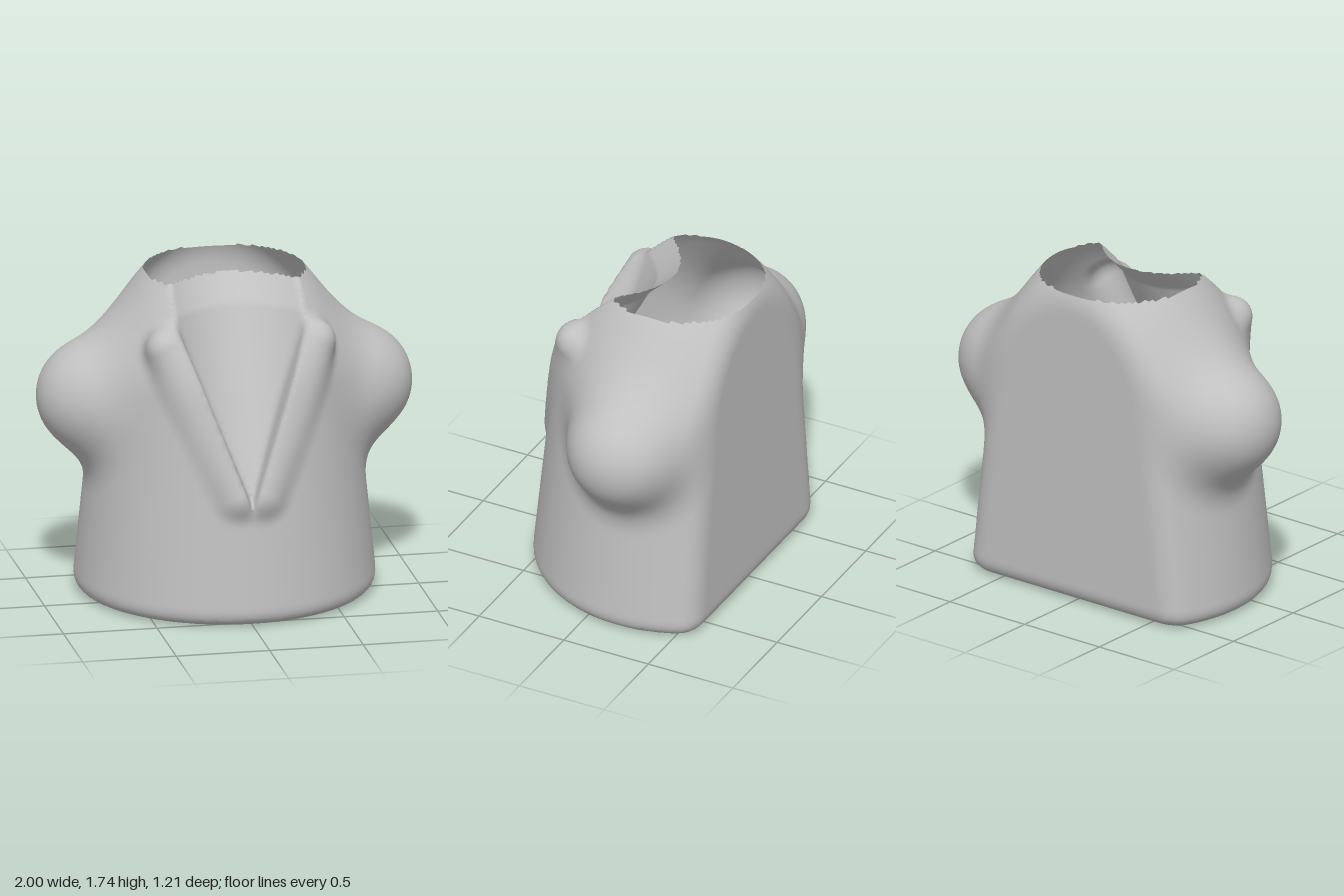
import * as THREE from 'three';

// Smooth blends between rounded volumes
const smin = (a, b, k) => {
  const h = Math.max(k - Math.abs(a - b), 0) / k;
  return Math.min(a, b) - h * h * k * 0.25;
};
const smax = (a, b, k) => -smin(-a, -b, k);

// Distance to a capsule from a to b
function capsule(x, y, z, a, b, r) {
  const d = [b[0] - a[0], b[1] - a[1], b[2] - a[2]];
  const p = [x - a[0], y - a[1], z - a[2]];
  const dot = (u, v) => u[0] * v[0] + u[1] * v[1] + u[2] * v[2];
  const t = THREE.MathUtils.clamp(dot(p, d) / dot(d, d), 0, 1);
  return Math.hypot(p[0] - t * d[0], p[1] - t * d[1], p[2] - t * d[2]) - r;
}

// Signed field of the torso, mirrored in x
function torsoField(px, y, z) {
  const x = Math.abs(px);
  // tapering body that narrows quickly toward the neck
  const r = 0.8 - 0.1 * y - 0.7 * Math.max(0, y - 1.2) ** 2;
  let d = (Math.hypot(x, z + 0.19) - r) * 0.95;
  // rounded arm stumps
  d = smin(d, capsule(x, y, z, [0.35, 1.17, -0.2], [0.7, 1.08, -0.2], 0.3), 0.22);
  // collar rolls
  d = smin(d, capsule(x, y, z, [0.4, 1.45, 0.245], [0.06, 0.69, 0.485], 0.105), 0.07);
  // V-shaped neckline with a sloping, hollowed floor
  const width = Math.min(0.38, (y - 0.64) * 0.37);
  const slope = 0.5 - (y - 0.7) * 0.54 - 0.5 * Math.max(0, y - 1.6);
  const cut = smax((x - width) * 0.94, (slope + 1.7 * x * x - z) * 0.8, 0.03);
  d = smax(d, -cut, 0.03);
  // flat back and base with softened edges
  d = smax(d, -0.612 - z, 0.08);
  return smax(d, -y, 0.1);
}

// Turn a field into a smooth surface, left open where it leaves the grid
function surfaceFromField(field, origin, count, h) {
  const [nx, ny, nz] = count;
  const id = (i, j, k) => i + (nx + 1) * (j + (ny + 1) * k);
  const at = (i, j, k) => [origin[0] + i * h, origin[1] + j * h, origin[2] + k * h];
  const values = new Float32Array((nx + 1) * (ny + 1) * (nz + 1));
  for (let k = 0; k <= nz; k++)
    for (let j = 0; j <= ny; j++)
      for (let i = 0; i <= nx; i++) values[id(i, j, k)] = field(...at(i, j, k));

  // one vertex in each cell the surface passes through
  const positions = [], normals = [], indices = [];
  const cellVertex = new Int32Array(values.length).fill(-1);
  for (let k = 0; k < nz; k++)
    for (let j = 0; j < ny; j++)
      for (let i = 0; i < nx; i++) {
        const sum = [0, 0, 0];
        let hits = 0;
        for (let c = 0; c < 8; c++) {
          const o = [c & 1, (c >> 1) & 1, c >> 2];
          const v0 = values[id(i + o[0], j + o[1], k + o[2])];
          for (let a = 0; a < 3; a++) {
            if (o[a]) continue;
            const e = [...o];
            e[a] = 1;
            const v1 = values[id(i + e[0], j + e[1], k + e[2])];
            if ((v0 < 0) === (v1 < 0)) continue;
            e[a] = v0 / (v0 - v1);
            for (let n = 0; n < 3; n++) sum[n] += e[n];
            hits++;
          }
        }
        if (!hits) continue;
        cellVertex[id(i, j, k)] = positions.length / 3;
        const p = at(i + sum[0] / hits, j + sum[1] / hits, k + sum[2] / hits);
        positions.push(...p);
        const g = [0, 1, 2].map((a) => {
          const q = [...p], s = [...p];
          q[a] += 0.012;
          s[a] -= 0.012;
          return field(...q) - field(...s);
        });
        normals.push(...new THREE.Vector3(...g).normalize().toArray());
      }

  // one quad around each grid edge that crosses the surface
  for (let k = 1; k < nz; k++)
    for (let j = 1; j < ny; j++)
      for (let i = 1; i < nx; i++)
        for (let a = 0; a < 3; a++) {
          const p = [i, j, k], end = [...p];
          end[a]++;
          const inside = values[id(...p)] < 0;
          if (inside === values[id(...end)] < 0) continue;
          const corner = (db, dc) => {
            const q = [...p];
            q[(a + 1) % 3] -= db;
            q[(a + 2) % 3] -= dc;
            return cellVertex[id(...q)];
          };
          const quad = [corner(0, 0), corner(1, 0), corner(1, 1), corner(0, 1)];
          if (!inside) quad.reverse();
          indices.push(quad[0], quad[1], quad[2], quad[0], quad[2], quad[3]);
        }

  const geometry = new THREE.BufferGeometry();
  geometry.setAttribute('position', new THREE.Float32BufferAttribute(positions, 3));
  geometry.setAttribute('normal', new THREE.Float32BufferAttribute(normals, 3));
  geometry.setIndex(indices);
  return geometry;
}

export function createModel() {
  const group = new THREE.Group();
  group.name = 'coatTorso';
  const grey = new THREE.MeshStandardMaterial({ color: 0xc0c0c0, side: THREE.DoubleSide });
  grey.name = 'plain grey';

  // hollow torso shell, open at the neck
  const geometry = surfaceFromField(torsoField, [-1.05, -0.0575, -0.675], [84, 72, 54], 0.025);
  const torso = new THREE.Mesh(geometry, grey);
  torso.name = 'torsoShell';
  group.add(torso);
  return group;
}
